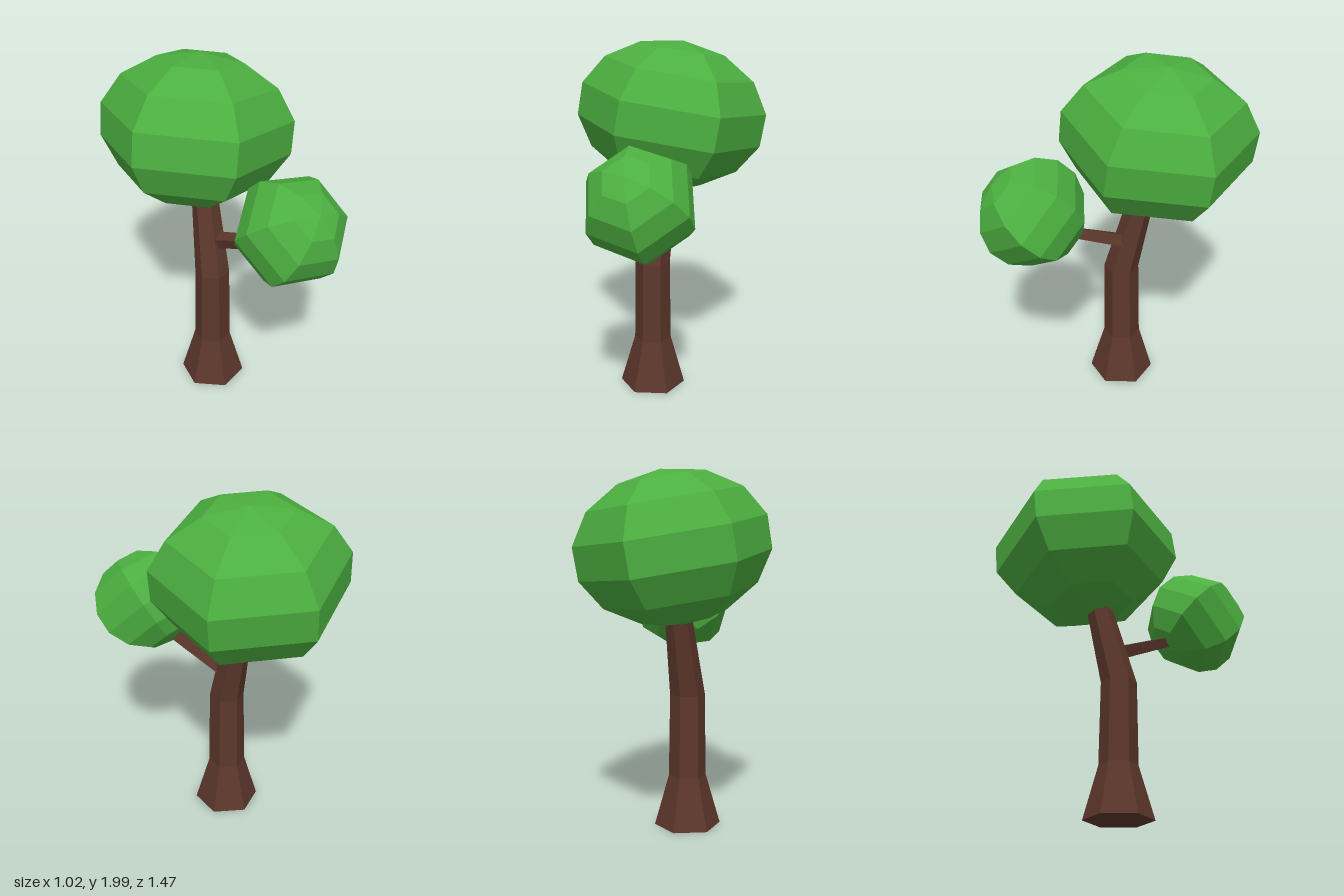
import * as THREE from 'three';

const bark = new THREE.MeshStandardMaterial({ color: 0x5c372c, flatShading: true });
const leaf = new THREE.MeshStandardMaterial({ color: 0x4caf40, flatShading: true });

// Faceted tube through horizontal rings [x, y, z, radius], with corners on +z and -z
function loft(rings, sides) {
  const pos = [], index = [];
  for (const [x, y, z, r] of rings) {
    for (let i = 0; i < sides; i++) {
      const a = (i / sides) * Math.PI * 2;
      pos.push(x + r * Math.sin(a), y, z + r * Math.cos(a));
    }
  }
  for (let k = 0; k < rings.length - 1; k++) {
    for (let i = 0; i < sides; i++) {
      const a = k * sides + i, b = k * sides + (i + 1) % sides;
      index.push(a, b, b + sides, a, b + sides, a + sides);
    }
  }
  // End caps
  const top = (rings.length - 1) * sides;
  for (let i = 1; i < sides - 1; i++) {
    index.push(0, i + 1, i, top, top + i, top + i + 1);
  }
  const g = new THREE.BufferGeometry();
  g.setAttribute('position', new THREE.Float32BufferAttribute(pos, 3));
  g.setIndex(index);
  g.computeVertexNormals();
  return g;
}

// Six-sided flattened ball whose pole points along the given axis
function crown(name, center, radius, halfHeight, twist, axis) {
  const g = new THREE.SphereGeometry(1, 6, 7);
  g.rotateY(twist);
  g.scale(radius, halfHeight, radius);
  const mesh = new THREE.Mesh(g, leaf);
  mesh.name = name;
  mesh.position.set(...center);
  mesh.quaternion.setFromUnitVectors(
    new THREE.Vector3(0, 1, 0), new THREE.Vector3(...axis).normalize());
  return mesh;
}

// Tapered cylinder from point a to point b
function limb(name, a, b, r0, r1, sides) {
  const from = new THREE.Vector3(...a), to = new THREE.Vector3(...b);
  const dir = to.clone().sub(from);
  const mesh = new THREE.Mesh(new THREE.CylinderGeometry(r1, r0, dir.length(), sides), bark);
  mesh.name = name;
  mesh.position.copy(from).lerp(to, 0.5);
  mesh.quaternion.setFromUnitVectors(new THREE.Vector3(0, 1, 0), dir.normalize());
  return mesh;
}

export function createModel() {
  const tree = new THREE.Group();
  tree.name = 'tree';

  // Trunk: flared foot, straight stem, upper part leaning back
  const trunk = new THREE.Mesh(loft([
    [-0.04, 0, -0.003, 0.188],
    [-0.04, 0.29, -0.005, 0.106],
    [-0.04, 0.76, -0.003, 0.099],
    [-0.035, 1.24, -0.12, 0.073],
  ], 6), bark);
  trunk.name = 'trunk';
  tree.add(trunk);

  // Side branch reaching forward to the small crown
  tree.add(limb('branch', [-0.01, 0.95, -0.02], [0.15, 1.11, 0.33], 0.05, 0.036, 4));

  // Foliage
  tree.add(crown('mainCrown', [-0.045, 1.585, -0.2], 0.54, 0.415, Math.PI / 6, [0.13, 1, -0.11]));
  tree.add(crown('smallCrown', [0.2, 1.25, 0.46], 0.31, 0.28, 0, [0.17, 0.69, 0.7]));

  return tree;
}
